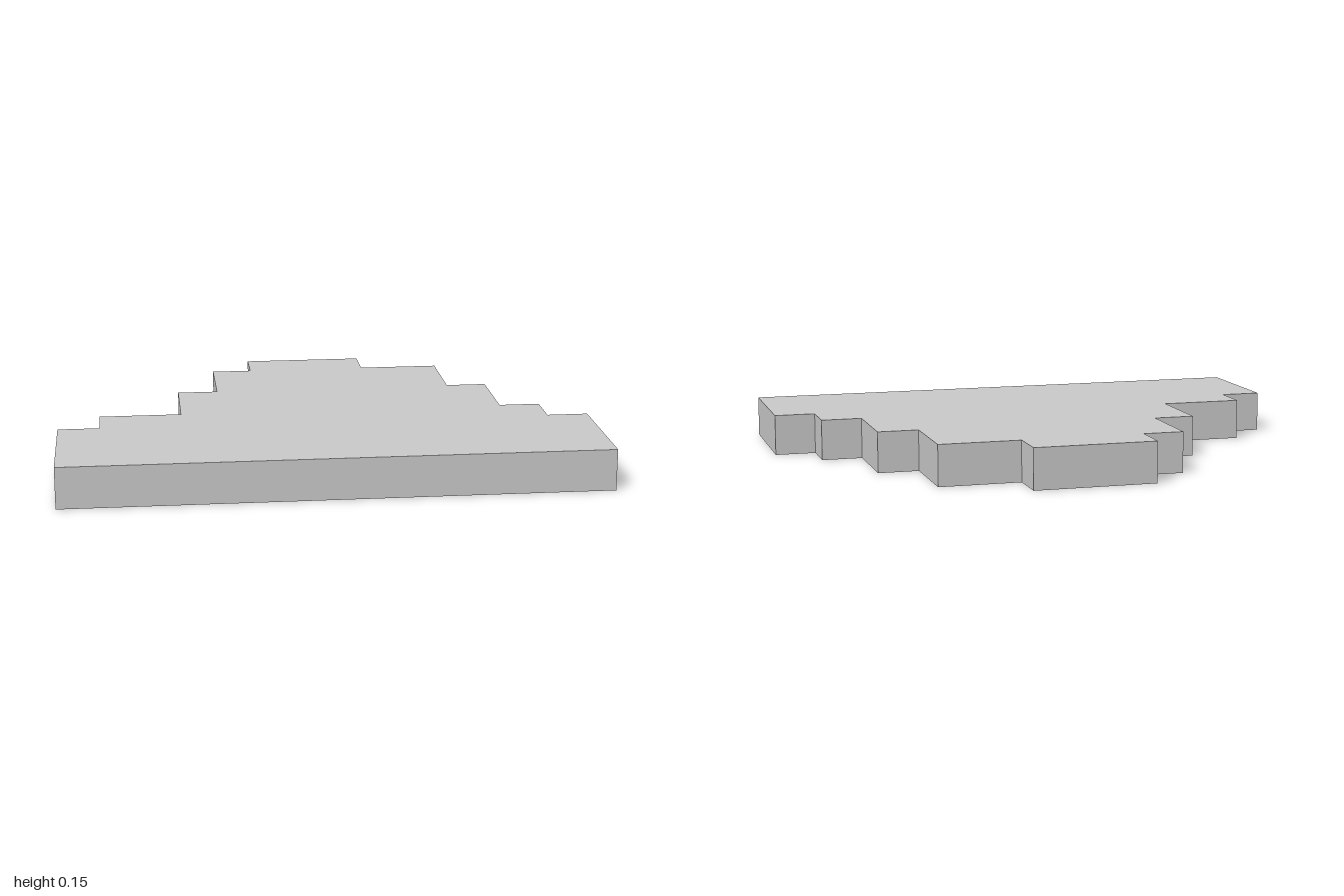
import * as THREE from 'three';

// The slab lies on a 13 x 9 grid of square cells, one cell thick.
const CELL = 2 / 13;
const FRONT_Z = 4.5;

// Rows from back to front, in cells: [back edge z, left x, right x]
const ROWS = [
  [-4.5, -1.5, 1.5],
  [-3.5, -2.5, 3.5],
  [-1.5, -3.5, 4.5],
  [0.5, -5.5, 5.5],
  [1.5, -6.5, 6.5],
];

// Stepped outline; shape y is -z so the slab can be laid flat
function steppedOutline() {
  const minXSide = [];
  const maxXSide = [];
  ROWS.forEach(([z, minX, maxX], i) => {
    const nextZ = i + 1 < ROWS.length ? ROWS[i + 1][0] : FRONT_Z;
    for (const edge of [z, nextZ]) {
      minXSide.push(new THREE.Vector2(minX, -edge).multiplyScalar(CELL));
      maxXSide.push(new THREE.Vector2(maxX, -edge).multiplyScalar(CELL));
    }
  });
  return new THREE.Shape([...minXSide, ...maxXSide.reverse()]);
}

export function createModel() {
  const group = new THREE.Group();
  group.name = 'steppedPlate';

  // Flat plate, extruded upward from the ground
  const geometry = new THREE.ExtrudeGeometry(steppedOutline(), { depth: CELL, bevelEnabled: false });
  geometry.rotateX(-Math.PI / 2);
  const plate = new THREE.Mesh(
    geometry,
    new THREE.MeshStandardMaterial({ color: 0xcccccc, flatShading: true })
  );
  plate.name = 'plate';
  group.add(plate);
  return group;
}
